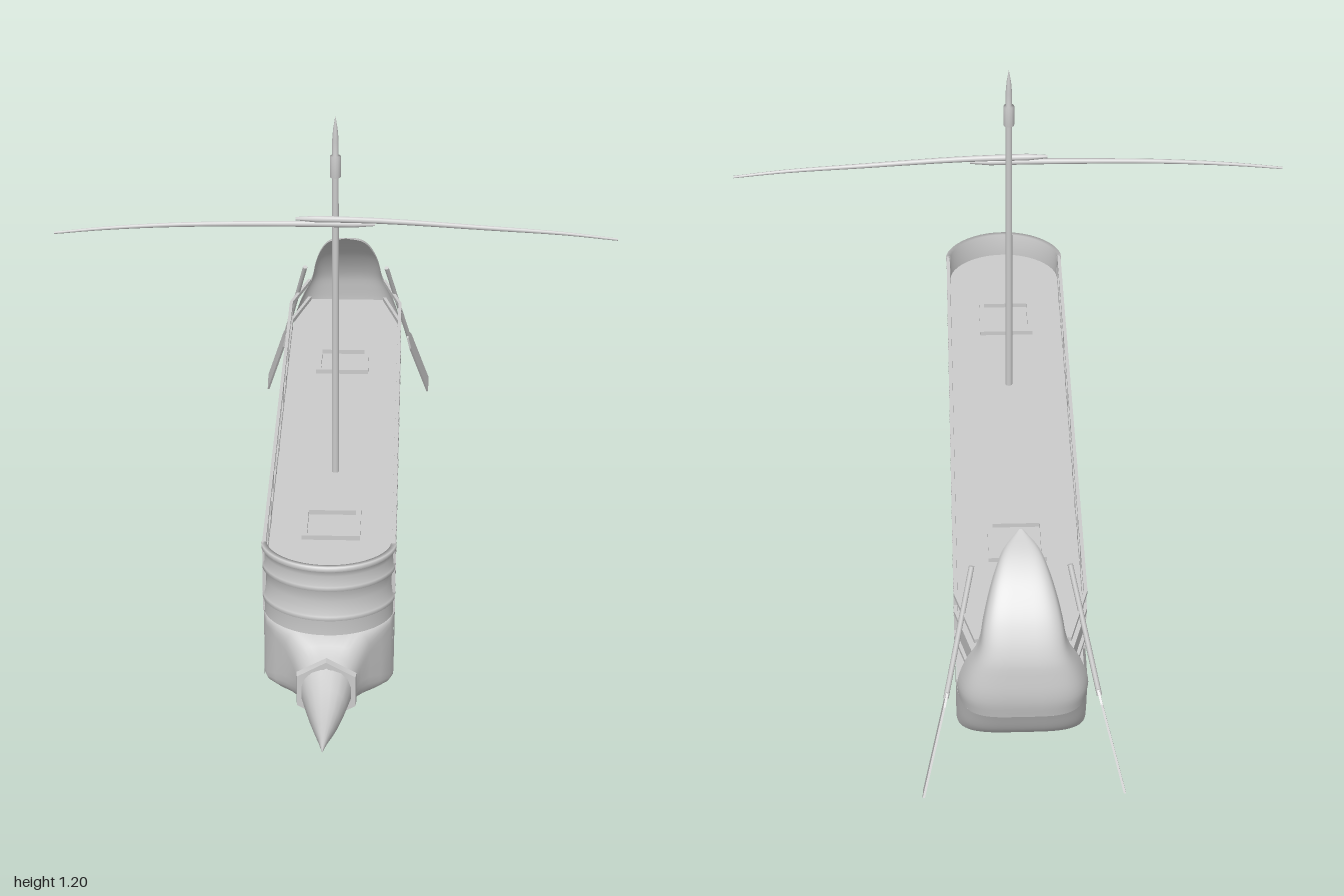
import * as THREE from 'three';

const mat = new THREE.MeshStandardMaterial({ color: 0xcccccc, side: THREE.DoubleSide });
const V = (x, y, z) => new THREE.Vector3(x, y, z);
const P = (x, y) => new THREE.Vector2(x, y);

function add(parent, name, geo, x = 0, y = 0, z = 0) {
  const m = new THREE.Mesh(geo, mat);
  m.name = name;
  m.position.set(x, y, z);
  parent.add(m);
  return m;
}

// Skin a list of equal-length point rows
function loft(rows, closed, flat = false) {
  const n = rows[0].length, idx = [];
  for (let i = 0; i < rows.length - 1; i++) {
    for (let j = 0; j < (closed ? n : n - 1); j++) {
      const a = i * n + j, b = i * n + (j + 1) % n;
      idx.push(a, b, a + n, b, b + n, a + n);
    }
  }
  let g = new THREE.BufferGeometry().setFromPoints(rows.flat());
  g.setIndex(idx);
  if (flat) g = g.toNonIndexed();
  g.computeVertexNormals();
  return g;
}

// Superellipse section across the ship; e near 0 is square, 1 is round
function section(z, w, bottom, top, e, n = 32) {
  const p = (v) => Math.sign(v) * Math.abs(v) ** e;
  return Array.from({ length: n }, (_, i) => {
    const a = (i + 0.5) / n * Math.PI * 2;
    return V(w * p(Math.cos(a)), (top + bottom) / 2 + (top - bottom) / 2 * p(Math.sin(a)), z);
  });
}

const curve = (pts) => new THREE.CatmullRomCurve3(pts.map((p) => V(...p)));

// U-shaped stern rows from stations of [y, half width, front z, back z, angle trimmed off each arm]
function sternRows(stations, steps) {
  const side = curve(stations.map(([y, w, front]) => [w, y, front]));
  const back = curve(stations.map(([y, , , rear, trim]) => [trim, y, rear]));
  return Array.from({ length: steps + 1 }, (_, i) => {
    const s = side.getPoint(i / steps), b = back.getPoint(i / steps);
    const trim = Math.max(0, b.x);
    return Array.from({ length: 33 }, (_, j) => {
      const a = trim + j / 32 * (Math.PI - 2 * trim), c = Math.cos(a);
      return V(s.x * Math.sign(c) * Math.abs(c) ** 0.5, s.y, s.z + (b.z - s.z) * Math.abs(Math.sin(a)) ** 0.5);
    });
  });
}

// Flat plate drawn in x, z whose upper face lies at y = top
function plate(shape, depth, top) {
  return new THREE.ExtrudeGeometry(shape, { depth, bevelEnabled: false }).rotateX(Math.PI / 2).translate(0, top, 0);
}

export function createModel() {
  const ship = new THREE.Group();
  ship.name = 'galley';

  // Hull sides, open below, then the bow narrowing into the ram
  for (const s of [-1, 1]) {
    const strake = (z) => [0.2, 0.12, 0.03].map((y) => V(s * 0.145, y, z));
    add(ship, 'hullSide', loft([strake(-0.75 * s), strake(0.58 * s)].map((row) => row.map((p) => V(p.x, p.y, p.z * s))), false));
  }
  add(ship, 'bow', loft([
    [0.58, 0.145, 0.03, 0.2, 0.08], [0.61, 0.138, 0.03, 0.2, 0.15], [0.64, 0.118, 0.031, 0.2, 0.25],
    [0.67, 0.094, 0.033, 0.198, 0.4], [0.7, 0.075, 0.034, 0.178, 0.6], [0.725, 0.065, 0.035, 0.164, 0.75],
    [0.75, 0.058, 0.035, 0.155, 0.85],
  ].map((s) => section(...s)), true));
  add(ship, 'ram', loft([
    [0.75, 0.057, 0.035, 0.155, 0.9], [0.8, 0.044, 0.037, 0.13, 0.9], [0.85, 0.032, 0.047, 0.115, 0.9],
    [0.9, 0.021, 0.064, 0.109, 0.9], [0.95, 0.01, 0.083, 0.106, 0.9], [1, 0.001, 0.1, 0.103, 0.9],
  ].map((s) => section(...s, 16)), true));
  add(ship, 'ramCollar', loft([
    [0.74, 0.055, 0.035, 0.155, 1], [0.74, 0.076, 0.026, 0.172, 1], [0.756, 0.074, 0.024, 0.17, 1],
    [0.756, 0.055, 0.035, 0.155, 1],
  ].map((s) => section(...s, 6)), true, true));

  // Stern: lower hull and the curled sternpost shell above it
  const lower = sternRows([[0.03, 0.145, -0.75, -0.752, 0], [0.06, 0.145, -0.75, -0.835, 0],
    [0.12, 0.145, -0.75, -0.892, 0], [0.2, 0.145, -0.75, -0.935, 0]], 18);
  add(ship, 'sternHull', loft(lower, false));
  add(ship, 'sternpost', loft(sternRows([[0.2, 0.145, -0.75, -0.935, 0.36], [0.25, 0.145, -0.79, -0.945, 0.27],
    [0.31, 0.125, -0.83, -0.942, 0.12], [0.37, 0.095, -0.868, -0.928, 0], [0.42, 0.085, -0.855, -0.9, 0],
    [0.46, 0.074, -0.83, -0.868, 0], [0.5, 0.058, -0.795, -0.825, 0], [0.53, 0.038, -0.758, -0.778, 0],
    [0.552, 0.003, -0.72, -0.722, 0]], 32), false));

  // Floor inside the hull that carries the mast foot
  const floor = new THREE.Shape([P(-0.144, 0.59), P(0.144, 0.59), ...lower[12].map((p) => P(p.x * 0.99, p.z))]);
  add(ship, 'hullFloor', plate(floor, 0.004, 0.138));

  // Rounded front of the deck plan, from +x to -x
  const bowPlan = (grow) => Array.from({ length: 25 }, (_, i) => {
    const a = i / 24 * Math.PI, c = Math.cos(a);
    return P((0.143 + grow) * c, 0.58 + (0.108 + grow) * Math.sin(a) ** 1.15);
  });

  // Upper deck, tapering at the stern, with two shallow framed hatches
  const deck = new THREE.Shape([P(-0.138, -0.72), P(-0.097, -0.88), P(0.097, -0.88), P(0.138, -0.72), ...bowPlan(-0.005)]);
  add(ship, 'deck', plate(deck, 0.07, 0.308));
  const square = (r) => [P(-r, -r), P(-r, r), P(r, r), P(r, -r)];
  const frame = new THREE.Shape(square(0.066));
  frame.holes.push(new THREE.Path(square(0.054)));
  for (const z of [0.39, -0.48]) add(ship, 'hatchFrame', plate(frame, 0.015, 0.319), 0, 0, z);

  // Bow bulwark with raised bands [y, outward offset]
  const wall = [[0.198, 0], [0.234, 0], [0.236, 0.004], [0.246, 0.004], [0.248, -0.001], [0.28, -0.005],
    [0.308, -0.001], [0.31, 0.004], [0.32, 0.004], [0.322, 0], [0.345, -0.001], [0.358, 0.002],
    [0.36, 0.006], [0.371, 0.006], [0.371, -0.006], [0.308, -0.006]];
  add(ship, 'bowBulwark', loft(wall.map(([y, o]) => bowPlan(o).map((p) => V(p.x, y, p.y))), false));

  // Side rails, bent inward at the stern, and their posts
  const rails = new THREE.Group();
  rails.name = 'sideRails';
  ship.add(rails);
  const postZ = [0.575, 0.48];
  for (let i = 0; i < 10; i++) postZ.push(0.363 - i * 0.1175);
  for (const s of [-1, 1]) {
    for (const y of [0.366, 0.314, 0.24, 0.204]) {
      add(rails, 'rail', new THREE.BoxGeometry(0.008, 0.01, 1.305), s * 0.143, y, -0.0675);
      if (y < 0.21) continue;
      const bent = add(rails, 'sternRail', new THREE.BoxGeometry(0.008, 0.01, 0.158), s * 0.122, y, -0.795);
      bent.rotation.y = s * Math.atan2(0.042, 0.15);
    }
    postZ.forEach((z) => add(rails, 'railPost', new THREE.BoxGeometry(0.008, 0.17, 0.013), s * 0.143, 0.285, z));
  }

  // Mast with its head block and spike
  const mast = [[0, 0.131], [0.009, 0.131], [0.0075, 1.052], [0.0125, 1.054], [0.0125, 1.104], [0.007, 1.106],
    [0.0075, 1.14], [0.005, 1.17], [0, 1.2]].map((p) => P(...p));
  add(ship, 'mast', new THREE.LatheGeometry(mast, 12), 0, 0, 0.12);

  // Yard: two overlapping, drooping, tapered spars
  for (const s of [-1, 1]) {
    const lift = s * 0.006;
    const path = curve([[-0.09, 0.951 + lift, 0.134], [0.1, 0.949 + lift * 0.8, 0.134],
      [0.35, 0.939, 0.134], [0.52, 0.928, 0.134], [0.64, 0.915, 0.134]]);
    const rows = Array.from({ length: 17 }, (_, i) => {
      const p = path.getPoint(i / 16), r = i ? 0.0085 - 0.0055 * i / 16 : 0.004;
      return Array.from({ length: 8 }, (_, j) => {
        const a = j / 8 * Math.PI * 2;
        return V(s * p.x, p.y + r * Math.cos(a), p.z + r * Math.sin(a));
      });
    });
    add(ship, 'yardSpar', loft(rows, true));
  }

  // Steering oars at the stern
  for (const s of [-1, 1]) {
    const oar = new THREE.Group();
    oar.name = 'steeringOar';
    ship.add(oar);
    const top = V(s * 0.107, 0.463, -0.738), neck = V(s * 0.168, 0.2, -0.872), tip = V(s * 0.22, 0.012, -0.976);
    const shaft = neck.clone().sub(top);
    const pole = add(oar, 'oarShaft', new THREE.CylinderGeometry(0.006, 0.006, shaft.length(), 8));
    pole.position.copy(top).addScaledVector(shaft, 0.5);
    pole.quaternion.setFromUnitVectors(V(0, 1, 0), shaft.normalize());
    const up = neck.clone().sub(tip), len = up.length();
    up.normalize();
    const across = up.clone().cross(V(1, 0, 0)).normalize();
    const outline = [[-0.012, 0.015], [-0.025, -0.015], [-0.025, -len], [0.025, -len], [0.025, -0.015], [0.012, 0.015]];
    const blade = new THREE.Shape(outline.map((p) => P(...p)));
    const m = add(oar, 'oarBlade', new THREE.ExtrudeGeometry(blade, { depth: 0.005, bevelEnabled: false }).translate(0, 0, -0.0025));
    m.quaternion.setFromRotationMatrix(new THREE.Matrix4().makeBasis(across, up, across.clone().cross(up)));
    m.position.copy(neck);
  }
  return ship;
}
